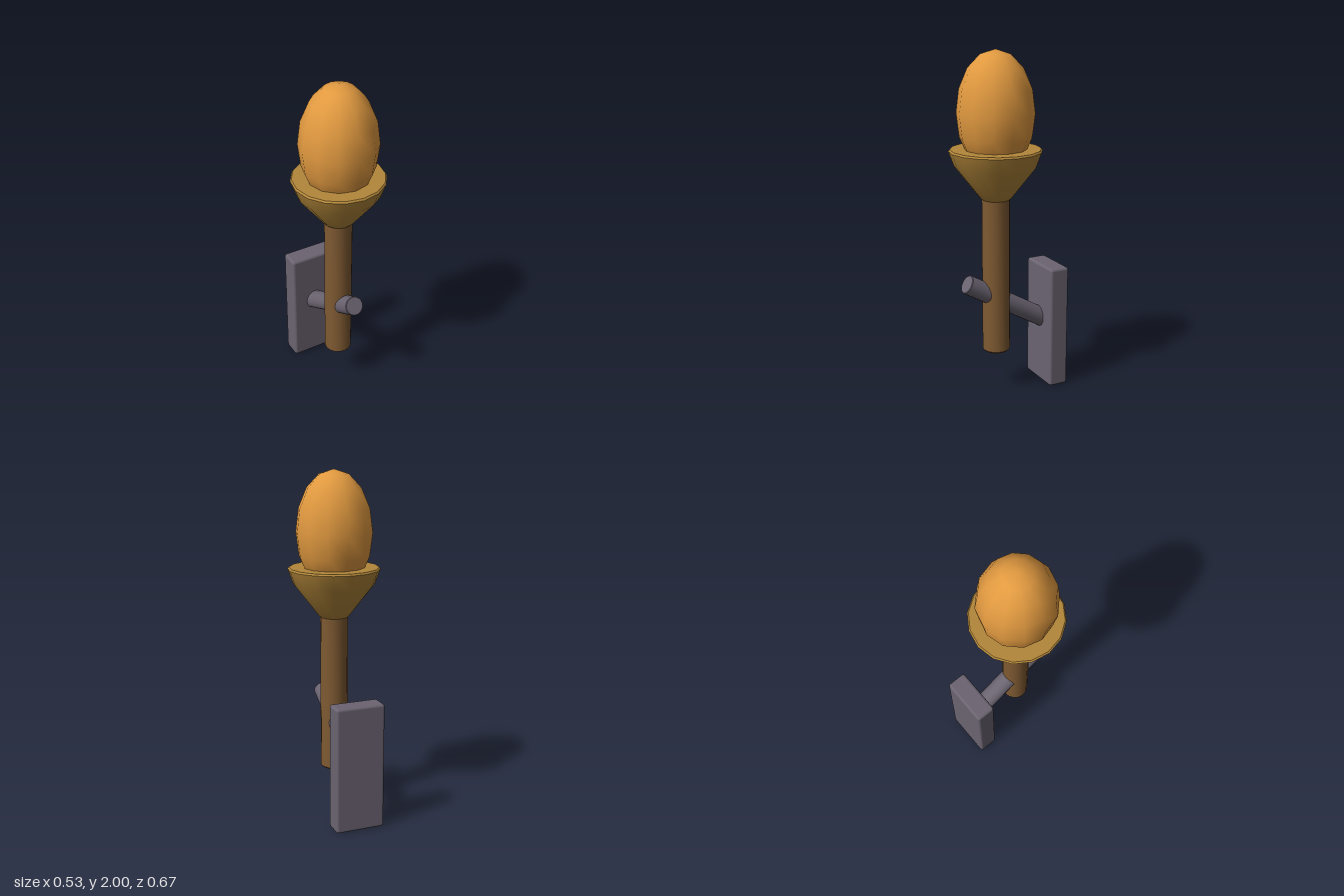
import * as THREE from 'three';
import { toCreasedNormals } from 'three/addons/utils/BufferGeometryUtils.js';
import { RoundedBoxGeometry } from 'three/addons/geometries/RoundedBoxGeometry.js';

const TORCH_Z = 0.069;

const material = (name, color) => {
  const m = new THREE.MeshStandardMaterial({ color });
  m.name = name;
  return m;
};

// Turned solid from [radius, height] points listed bottom to top
function turned(points, sides) {
  const profile = points.map(([r, y]) => new THREE.Vector2(r, y));
  return toCreasedNormals(new THREE.LatheGeometry(profile, sides), 0.6);
}

// Closed rod with small bevels at both ends
function rod(radius, bottom, top, bevel, sides) {
  return turned([
    [0, bottom], [radius - bevel, bottom], [radius, bottom + bevel],
    [radius, top - bevel], [radius - bevel, top], [0, top],
  ], sides);
}

export function createModel() {
  const group = new THREE.Group();
  group.name = 'wallTorch';
  const iron = material('iron', 0x6b6471);
  const wood = material('wood', 0x7f5a32);
  const brass = material('brass', 0xb3873a);
  const fire = material('fire', 0xe29a40);

  const add = (name, geometry, mat, x, y, z) => {
    const mesh = new THREE.Mesh(geometry, mat);
    mesh.name = name;
    mesh.position.set(x, y, z);
    group.add(mesh);
    return mesh;
  };

  // Wall plate behind the torch
  add('wallPlate', new RoundedBoxGeometry(0.29, 0.735, 0.119, 2, 0.016), iron, 0, 0.37, -0.276);

  // Slanted bracket arm, from the plate up through the handle
  const arm = add('bracketArm', rod(0.056, -0.59, 0, 0.004, 16), iron, 0, 0.683, 0.256);
  arm.rotation.x = Math.PI / 3;

  // Wooden handle
  add('handle', rod(0.08, 0.25, 1.2, 0.01, 16), wood, 0, 0, TORCH_Z);

  // Flared cup with a flat top
  add('cup', turned([
    [0, 1.162], [0.078, 1.162], [0.092, 1.175], [0.234, 1.357],
    [0.265, 1.442], [0.257, 1.452], [0, 1.452],
  ], 16), brass, 0, 0, TORCH_Z);

  // Egg-shaped flame sitting in the cup
  const flame = add('flame', new THREE.SphereGeometry(1, 12, 8), fire, 0, 1.65, TORCH_Z);
  flame.scale.set(0.22, 0.35, 0.22);

  return group;
}
